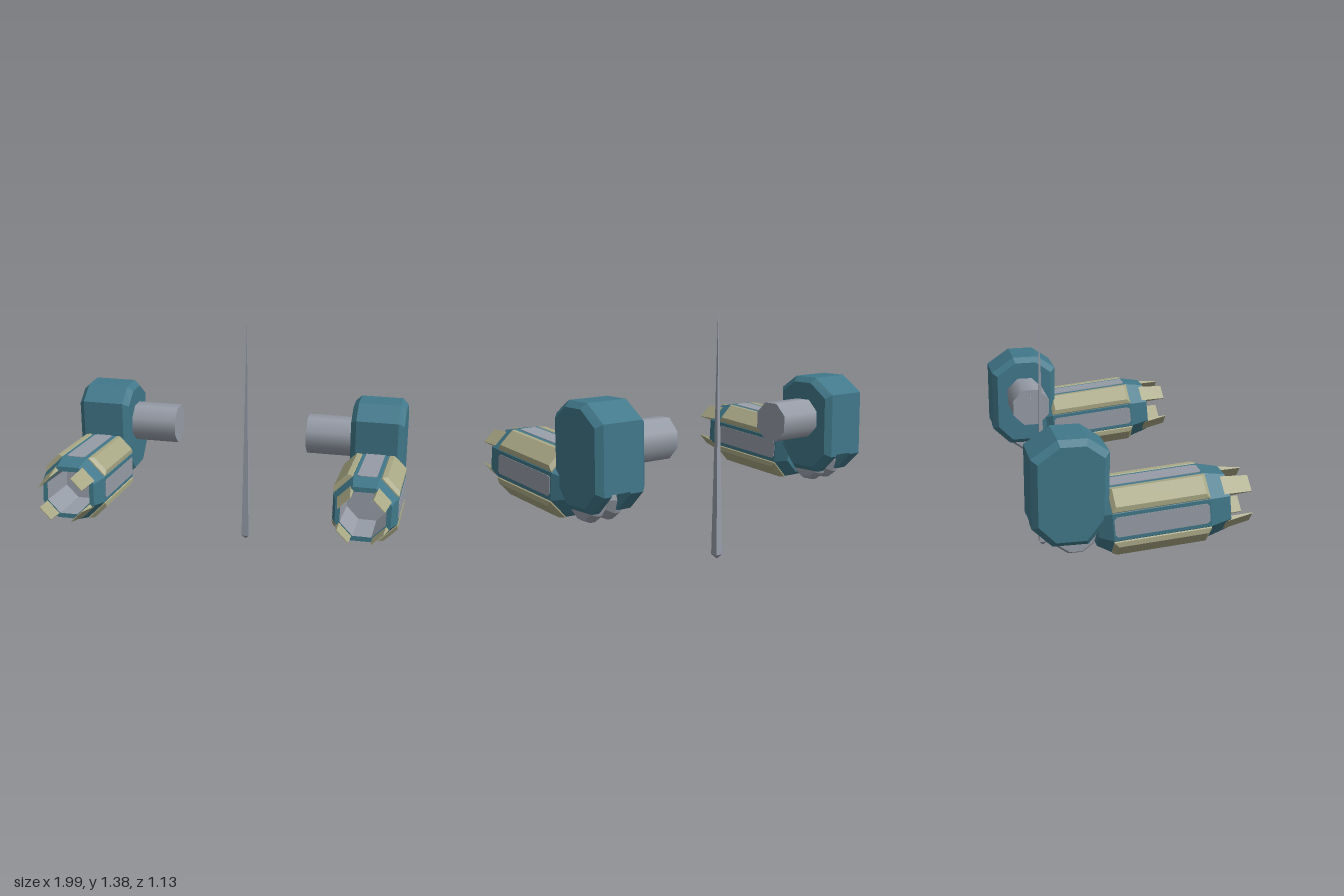
import * as THREE from 'three';

// Flat-faced skin over a list of equal-length rings, each counter-clockwise
// when looked at from the direction the rings advance towards.
function loft(rings, capStart = true, capEnd = true) {
  const pos = [];
  const n = rings[0].length;
  const tri = (a, b, c) => pos.push(...a, ...b, ...c);
  for (let r = 0; r < rings.length - 1; r++) {
    const p = rings[r], q = rings[r + 1];
    for (let i = 0; i < n; i++) {
      const j = (i + 1) % n;
      tri(p[i], p[j], q[j]);
      tri(p[i], q[j], q[i]);
    }
  }
  const last = rings[rings.length - 1];
  for (let i = 1; i < n - 1; i++) {
    if (capStart) tri(rings[0][0], rings[0][i + 1], rings[0][i]);
    if (capEnd) tri(last[0], last[i], last[i + 1]);
  }
  const g = new THREE.BufferGeometry();
  g.setAttribute('position', new THREE.Float32BufferAttribute(pos, 3));
  g.computeVertexNormals();
  return g;
}

// Octagon with flat top and sides, across the z axis
function octagon(apothem, z) {
  const r = apothem / Math.cos(Math.PI / 8);
  return Array.from({ length: 8 }, (_, i) => {
    const a = (i + 0.5) * Math.PI / 4;
    return [r * Math.cos(a), r * Math.sin(a), z];
  });
}

const rectY = (w, l, y) => [[-w, y, l], [w, y, l], [w, y, -l], [-w, y, -l]];
const rectZ = (w, y0, y1, z) => [[-w, y0, z], [w, y0, z], [w, y1, z], [-w, y1, z]];

// Plate with cut corners, lying across the y axis
function plateRing(w, l, c, y) {
  return [[-w + c, y, l], [w - c, y, l], [w, y, l - c], [w, y, -l + c],
    [w - c, y, -l], [-w + c, y, -l], [-w, y, -l + c], [-w, y, l - c]];
}

export function createModel() {
  const teal = new THREE.MeshStandardMaterial({ color: 0x41788a });
  const grey = new THREE.MeshStandardMaterial({ color: 0x979da8 });
  const cream = new THREE.MeshStandardMaterial({ color: 0xa9a886 });
  teal.name = 'teal armour';
  grey.name = 'grey metal';
  cream.name = 'cream panel';

  const model = new THREE.Group();
  model.name = 'armsAndSpike';
  const add = (parent, geometry, material, name) => {
    const m = new THREE.Mesh(geometry, material);
    m.name = name;
    parent.add(m);
    return m;
  };

  // Shoulder side profile as [z, y], from the back top round by the front
  const profile = [[-0.43, 0.96], [-0.28, 0.96], [-0.172, 0.885], [-0.178, 0.53],
    [-0.28, 0.41], [-0.46, 0.41], [-0.563, 0.51], [-0.563, 0.87]];
  const cz = -0.367, cy = 0.685;
  const slotTop = 0.52;
  const section = (x, inset) => profile.map(([z, y]) => [x,
    cy + (y - cy) * (1 - inset / 0.275), cz + (z - cz) * (1 - inset / 0.195)]);
  const bridge = x => section(x, 0).map(([px, y, z]) => [px, Math.max(y, slotTop), z]);

  function buildShoulder(arm, side) {
    const shoulder = new THREE.Group();
    shoulder.name = 'shoulder';
    arm.add(shoulder);
    const s0 = -0.04, s1 = 0.075; // slot between the two cheeks
    add(shoulder, loft([section(-0.152, 0.03), section(-0.12, 0), section(s0, 0)]), teal, 'shoulderCheek');
    add(shoulder, loft([section(s1, 0), section(0.12, 0), section(0.152, 0.03)]), teal, 'shoulderCheek');
    add(shoulder, loft([bridge(s0), bridge(s1)], false, false), teal, 'shoulderBridge');

    // Stub axle pointing to the middle of the model
    const axle = add(shoulder, new THREE.CylinderGeometry(0.116, 0.116, 0.3, 8), grey, 'shoulderAxle');
    axle.rotation.set(Math.PI / 8, 0, Math.PI / 2, 'XYZ');
    axle.position.set(-side * 0.27, 0.725, -0.365);

    // Grooved elbow pulley
    const pulley = [[0, -0.1], [0.1, -0.1], [0.118, -0.07], [0.118, -0.04], [0.085, 0],
      [0.118, 0.04], [0.118, 0.07], [0.1, 0.1], [0, 0.1]].map(p => new THREE.Vector2(...p));
    const elbow = add(shoulder, new THREE.LatheGeometry(pulley, 10).toNonIndexed(), grey, 'elbowPulley');
    elbow.geometry.computeVertexNormals();
    elbow.rotation.z = Math.PI / 2;
    elbow.position.set(0, 0.458, -0.34);
  }

  function buildForearm(arm, y, z, tilt) {
    const forearm = new THREE.Group();
    forearm.name = 'forearm';
    forearm.position.set(0, y, z);
    forearm.rotation.x = -tilt;
    arm.add(forearm);

    // Hollow octagonal barrel
    add(forearm, loft([octagon(0.135, -0.32), octagon(0.175, -0.25), octagon(0.175, 0.25),
      octagon(0.148, 0.36), octagon(0.122, 0.36)], true, false), teal, 'barrel');
    add(forearm, loft([octagon(0.122, 0.36), octagon(0.118, 0.08)], false, true), grey, 'barrelBore');

    for (let k = 0; k < 8; k++) {
      const face = new THREE.Group();
      face.name = 'barrelFace';
      face.rotation.z = k * Math.PI / 4;
      forearm.add(face);
      if (k % 2 === 0) {
        // Thin inlay on the upright and level faces
        add(face, loft([plateRing(0.053, 0.243, 0.014, 0.172),
          plateRing(0.053, 0.243, 0.014, 0.178)]), grey, 'inlayPanel');
      } else {
        // Raised, bevelled panel and a claw on the diagonal faces
        add(face, loft([rectY(0.068, 0.25, 0.17), rectY(0.068, 0.25, 0.182),
          rectY(0.05, 0.23, 0.201)]), cream, 'raisedPanel');
        add(face, loft([rectZ(0.05, 0.128, 0.156, 0.325),
          rectZ(0.045, 0.126, 0.131, 0.48)]), cream, 'claw');
      }
    }
  }

  // Left and right arms, held at slightly different angles
  for (const [side, x, y, z, tilt] of [[1, 0.814, 0.538, 0.06, 0.095], [-1, -0.818, 0.525, 0.083, 0.078]]) {
    const arm = new THREE.Group();
    arm.name = side > 0 ? 'leftArm' : 'rightArm';
    arm.position.x = x;
    model.add(arm);
    buildShoulder(arm, side);
    buildForearm(arm, y, z, tilt);
  }

  // Tall square spike between the arms, with a short point below
  const square = (h, y) => rectY(h, h, y);
  const spike = add(model, loft([square(0.0005, 0), square(0.022, 0.025), square(0.0005, 1.375)]), grey, 'spike');
  spike.position.set(0.015, 0, -0.367);

  // Tiny pegs on the left axle end and inside the left barrel
  for (const [x, y, z] of [[0.392, 0.775, -0.37], [0.827, 0.515, 0.15]]) {
    const peg = add(model, loft([square(0.006, 0), square(0.001, 0.035)]), grey, 'peg');
    peg.position.set(x, y, z);
  }
  return model;
}
